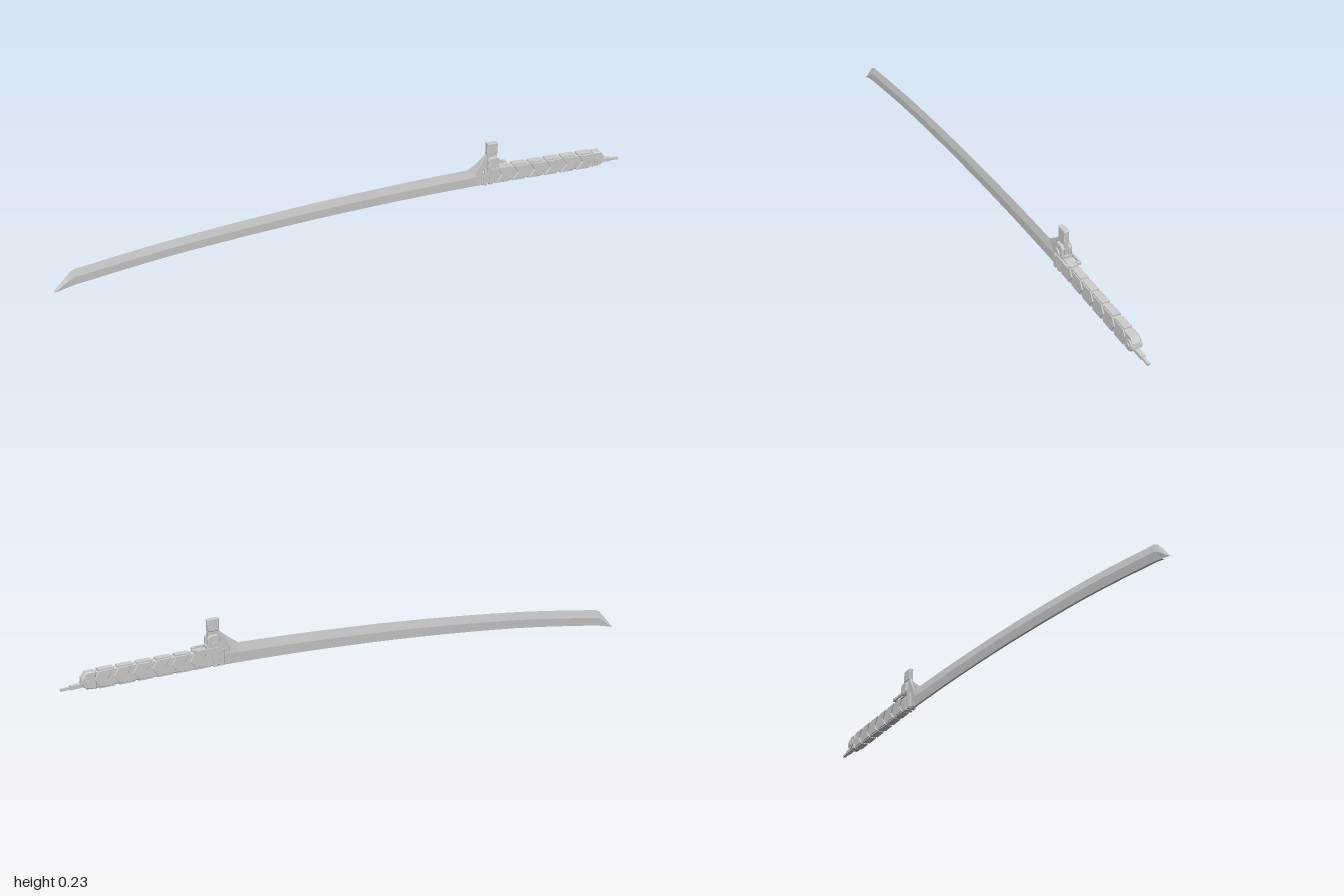
import * as THREE from 'three';

const mat = new THREE.MeshStandardMaterial({ color: 0xcccccc, flatShading: true });

function add(parent, name, geo, x = 0, y = 0, z = 0) {
  const m = new THREE.Mesh(geo, mat);
  m.name = name;
  m.position.set(x, y, z);
  parent.add(m);
  return m;
}
const box = (w, h, d) => new THREE.BoxGeometry(w, h, d);
// disc whose axis runs along z
const disc = (r, d, sides = 16) => new THREE.CylinderGeometry(r, r, d, sides).rotateX(Math.PI / 2);
// outline in x/y, given a thickness centred on z = 0
function plate(points, depth, bevel = 0) {
  const shape = new THREE.Shape(points.map(p => new THREE.Vector2(p[0], p[1])));
  const core = depth - 2 * bevel;
  const g = new THREE.ExtrudeGeometry(shape, {
    depth: core, bevelEnabled: bevel > 0, bevelThickness: bevel,
    bevelSize: bevel, bevelOffset: -bevel, bevelSegments: 1,
  });
  return g.translate(0, 0, -core / 2);
}

// Curved blade: flat narrow spine below, ridge, sharp edge on top
function bladeGeometry() {
  const curve = pts => new THREE.SplineCurve(pts.map(p => new THREE.Vector2(p[0], p[1])));
  const low = curve([[-0.93, 0.015], [-0.6, 0.049], [-0.2, 0.07], [0.15, 0.076], [0.42, 0.073]]);
  const high = curve([[-0.93, 0.071], [-0.6, 0.106], [-0.2, 0.13], [0.15, 0.139], [0.42, 0.139]]);
  const stations = [[-1, 0, 0.001], [-0.965, 0.008, 0.042], [-0.945, 0.012, 0.063]];
  const n = 28;
  for (let i = 0; i <= n; i++) {
    const a = low.getPoint(i / n), b = high.getPoint(i / n);
    stations.push([a.x, a.y, b.y]);
  }
  stations.push([0.455, 0.072, 0.163], [0.49, 0.071, 0.192]);
  const pos = [], idx = [], k = 5;
  stations.forEach(([x, b, t]) => {
    const ridge = b + Math.min((t - b) * 0.52, 0.036);
    pos.push(x, b, -0.004, x, b, 0.004, x, ridge, 0.006, x, t, 0, x, ridge, -0.006);
  });
  for (let s = 0; s < stations.length - 1; s++) {
    for (let j = 0; j < k; j++) {
      const a = s * k + j, b = s * k + (j + 1) % k;
      idx.push(a, a + k, b, b, a + k, b + k);
    }
  }
  const e = (stations.length - 1) * k;
  for (let j = 1; j < k - 1; j++) {
    idx.push(0, j, j + 1, e, e + j + 1, e + j);
  }
  // orient every face outward
  for (let i = 0; i < idx.length; i += 3) {
    const v = [0, 1, 2].map(c => new THREE.Vector3().fromArray(pos, idx[i + c] * 3));
    const normal = v[1].clone().sub(v[0]).cross(v[2].clone().sub(v[0]));
    const mid = v[0].clone().add(v[1]).add(v[2]).divideScalar(3);
    const s = Math.min(Math.floor(Math.min(idx[i], idx[i + 1], idx[i + 2]) / k), stations.length - 1);
    const c = new THREE.Vector3(mid.x, (stations[s][1] + stations[s][2]) / 2, 0);
    if (idx[i] === 0 && idx[i + 2] < k) c.x += 1;
    if (Math.min(idx[i], idx[i + 1], idx[i + 2]) >= e) c.x -= 1;
    if (normal.dot(mid.sub(c)) < 0) [idx[i + 1], idx[i + 2]] = [idx[i + 2], idx[i + 1]];
  }
  const g = new THREE.BufferGeometry();
  g.setAttribute('position', new THREE.Float32BufferAttribute(pos, 3));
  g.setIndex(idx);
  const flat = g.toNonIndexed();
  flat.computeVertexNormals();
  return flat;
}

function createHandle() {
  const handle = new THREE.Group();
  handle.name = 'handle';
  handle.position.set(0.5, 0.105, 0);
  handle.rotation.z = -0.047;

  add(handle, 'gripCore', plate([
    [-0.03, -0.03], [0.40, -0.027], [0.43, -0.02], [0.435, 0.008],
    [0.42, 0.026], [-0.01, 0.027], [-0.03, 0.02],
  ], 0.024, 0.003));

  // wrapped grip: chevron plates on each side, bands above and below
  const count = 6, pitch = 0.062;
  const chevron = plate([
    [0, 0.026], [0.044, 0.026], [0.062, 0], [0.044, -0.026], [0, -0.026], [0.018, 0],
  ], 0.006, 0.0015);
  for (let i = 0; i < count; i++) {
    const x = 0.025 + i * pitch;
    for (const s of [1, -1]) {
      add(handle, 'gripChevron', chevron, x, 0, s * 0.0125);
      add(handle, 'gripBand', box(0.05, 0.006, 0.026), x + 0.022, s * 0.0275, 0);
    }
  }

  // collar next to the guard
  for (const x of [-0.018, 0.004]) add(handle, 'collar', box(0.014, 0.062, 0.029), x, -0.001, 0);

  // pommel pivot
  add(handle, 'pommelCap', plate([
    [0.39, -0.028], [0.422, -0.026], [0.438, -0.008], [0.434, 0.012], [0.42, 0.028], [0.39, 0.028],
  ], 0.03, 0.003));
  add(handle, 'pommelPivot', disc(0.018, 0.038), 0.416, -0.003, 0);
  add(handle, 'pommelBolt', disc(0.009, 0.046, 8), 0.416, -0.003, 0);
  return handle;
}

function createGuard() {
  const guard = new THREE.Group();
  guard.name = 'guard';

  // upright tab with a wider head
  add(guard, 'guardStem', box(0.034, 0.10, 0.013), 0.506, 0.15, 0);
  add(guard, 'guardHead', plate([
    [0.485, 0.188], [0.524, 0.188], [0.524, 0.226], [0.519, 0.229], [0.485, 0.23],
  ], 0.017, 0.002));

  for (const s of [1, -1]) {
    // cheek plates, pivot and swept side prongs
    add(guard, 'guardCheek', plate([
      [0.488, 0.128], [0.528, 0.128], [0.528, 0.168], [0.52, 0.178], [0.494, 0.178], [0.488, 0.168],
    ], 0.011, 0.002), 0, 0, s * 0.0125);
    add(guard, 'guardPivot', disc(0.016, 0.008), 0.5, 0.142, s * 0.019);
    add(guard, 'guardBolt', disc(0.007, 0.016, 8), 0.5, 0.134, s * 0.021);
    const prong = add(guard, 'guardProng', box(0.075, 0.009, 0.006), 0.53, 0.134, s * 0.0235);
    prong.rotation.z = -0.047;
    add(guard, 'prongTip', box(0.012, 0.008, 0.013), 0.565, 0.132, s * 0.019);
  }
  add(guard, 'guardBase', box(0.045, 0.016, 0.036), 0.508, 0.134, 0);
  return guard;
}

export function createModel() {
  const model = new THREE.Group();
  model.name = 'sword';
  add(model, 'blade', bladeGeometry());
  // blade root reaching into the grip
  add(model, 'bladeRoot', plate([
    [0.45, 0.073], [0.5, 0.072], [0.5, 0.19], [0.485, 0.19], [0.45, 0.13],
  ], 0.011, 0.001));
  model.add(createGuard(), createHandle());
  // tail tang with a narrower end
  add(model, 'tailTang', box(0.045, 0.012, 0.015), 0.947, 0.07, 0).rotation.z = -0.08;
  add(model, 'tailTip', box(0.04, 0.008, 0.009), 0.98, 0.0665, 0).rotation.z = -0.08;
  return model;
}
